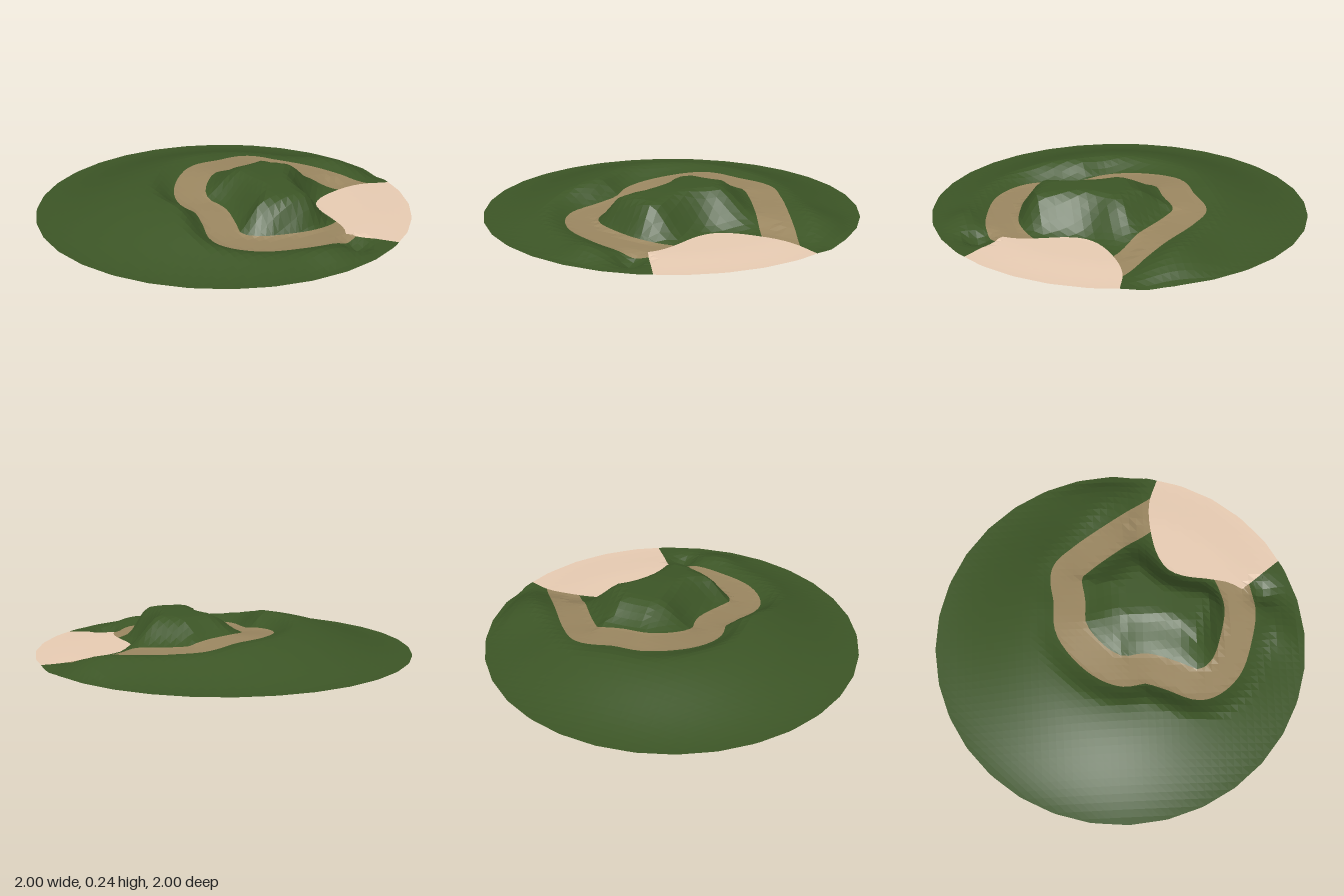
import * as THREE from 'three';

const V = (x, y, z) => new THREE.Vector3(x, y, z);
// Smooth 0 to 1 ramp from a to b; a may be the larger
const step = (a, b, v) => {
  const t = THREE.MathUtils.clamp((v - a) / (b - a), 0, 1);
  return t * t * (3 - 2 * t);
};
const bump = (x, z, cx, cz, r) => Math.exp(-((x - cx) ** 2 + (z - cz) ** 2) / (r * r));

// Centre line of the trail, with its height
const trail = new THREE.CatmullRomCurve3([
  [0.42, 0.045, 0.59], [0.3, 0.05, 0.635], [0.16, 0.052, 0.66], [0, 0.055, 0.63], [-0.19, 0.06, 0.55],
  [-0.275, 0.065, 0.42], [-0.22, 0.08, 0.26], [-0.18, 0.095, 0.13], [-0.195, 0.11, 0], [-0.13, 0.13, -0.13],
  [0.04, 0.155, -0.26], [0.2, 0.15, -0.265], [0.37, 0.135, -0.275], [0.46, 0.12, -0.19],
  [0.6, 0.1, 0], [0.73, 0.06, 0.18], [0.79, 0.045, 0.27],
].map(p => V(...p))).getPoints(200);
const HALF = 0.085;

// Outline of the beach; it runs on past the rim, where it is cut off
const beach = [
  ...new THREE.CatmullRomCurve3([
    [0.27, 0.68], [0.31, 0.62], [0.34, 0.5], [0.36, 0.38], [0.4, 0.29], [0.48, 0.235],
    [0.63, 0.2], [0.82, 0.2], [0.96, 0.25],
  ].map(([x, z]) => V(x, 0, z))).getPoints(60),
  V(1.3, 0, 0.36), V(1.3, 0, 1.3), V(0.65, 0, 1.2), V(0.43, 0, 0.89),
];
const hillOutline = [...trail, V(0.6, 0, 0.6)];

// Nearest distance to a polyline, and the height there
function nearest(line, x, z, closed) {
  let d = Infinity, y = 0;
  for (let i = 0; i < line.length - (closed ? 0 : 1); i++) {
    const a = line[i], b = line[(i + 1) % line.length];
    const ux = b.x - a.x, uz = b.z - a.z;
    const t = THREE.MathUtils.clamp(((x - a.x) * ux + (z - a.z) * uz) / (ux * ux + uz * uz || 1), 0, 1);
    const e = Math.hypot(a.x + ux * t - x, a.z + uz * t - z);
    if (e < d) { d = e; y = a.y + (b.y - a.y) * t; }
  }
  return { d, y };
}

function inside(poly, x, z) {
  let hit = false;
  poly.forEach((a, i) => {
    const b = poly[(i + 1) % poly.length];
    if ((a.z > z) !== (b.z > z) && x < a.x + (b.x - a.x) * (z - a.z) / (b.z - a.z)) hit = !hit;
  });
  return hit;
}

// Positive inside the 32-sided rim
function rimField(x, z) {
  const s = Math.PI / 16, a = Math.atan2(z, x);
  const off = a - (Math.floor(a / s) + 0.5) * s;
  return Math.cos(s / 2) - Math.hypot(x, z) * Math.cos(off);
}

// One ground point: its height and the fields that divide the surfaces
function groundPoint(x, z) {
  const r = Math.hypot(x, z);
  const path = nearest(trail, x, z, false);
  const shore = nearest(beach, x, z, true).d * (inside(beach, x, z) ? 1 : -1);
  const inHill = inside(hillOutline, x, z);
  const fade = step(1, 0.9, r);
  let y;
  if (inHill) {
    y = 0.238 - 0.02 * step(0.2, 0.5, z);
  } else {
    y = 0.035 + 0.147 * step(1, 0.35, r);
    y += fade * (0.05 * bump(x, z, 0.8, -0.06, 0.2) + 0.03 * bump(x, z, 0.03, 0.84, 0.12));
    y -= 0.01 * bump(x, z, 0.99, 0.13, 0.08);
  }
  const width = inHill ? 0.2 - 0.09 * step(0.3, 0.5, z) : 0.13;
  y = THREE.MathUtils.lerp(path.y, y, step(HALF - 0.02, HALF + width, path.d));
  const sandY = 0.036 + 0.012 * step(1, 0.7, r);
  y = THREE.MathUtils.lerp(sandY, y, step(-0.01, inHill ? 0.18 : 0.12, -shore));
  if (shore < 0) y -= 0.058 * bump(x, z, 0.24, 0.8, 0.065);
  return { x, y: Math.max(y, 0), z, rim: rimField(x, z), sand: shore, path: HALF - path.d };
}

// Cuts a polygon where a field changes sign and keeps one side
function clip(poly, key, sign) {
  const out = [];
  poly.forEach((a, i) => {
    const b = poly[(i + 1) % poly.length];
    const fa = a[key] * sign, fb = b[key] * sign;
    if (fa >= 0) out.push(a);
    if ((fa >= 0) !== (fb >= 0)) {
      const t = fa / (fa - fb);
      const p = groundPoint(a.x + (b.x - a.x) * t, a.z + (b.z - a.z) * t);
      p[key] = 0;
      out.push(p);
    }
  });
  return out;
}

export function createModel() {
  const group = new THREE.Group();
  group.name = 'island';
  const material = (name, color) => {
    const m = new THREE.MeshStandardMaterial({ color, flatShading: true, side: THREE.DoubleSide });
    m.name = name;
    return m;
  };
  const parts = {
    grass: { material: material('green grass', 0x3c5526), pos: [] },
    trail: { material: material('brown earth', 0x9a8660), pos: [] },
    beach: { material: material('pale sand', 0xe8ccb3), pos: [] },
  };
  const add = (part, poly) => {
    for (let i = 1; i + 1 < poly.length; i++) {
      for (const p of [poly[0], poly[i], poly[i + 1]]) parts[part].pos.push(p.x, p.y, p.z);
    }
  };

  // Ground grid
  const N = 52, S = 0.04, grid = [];
  for (let j = 0; j <= N; j++) {
    grid.push([]);
    for (let i = 0; i <= N; i++) grid[j].push(groundPoint((i - N / 2) * S, (j - N / 2) * S));
  }

  // Each triangle is trimmed to the rim, then shared out between the surfaces
  for (let j = 0; j < N; j++) {
    for (let i = 0; i < N; i++) {
      const a = grid[j][i], b = grid[j + 1][i], c = grid[j + 1][i + 1], d = grid[j][i + 1];
      for (const tri of [[a, b, d], [b, c, d]]) {
        const ground = clip(tri, 'rim', 1);
        add('beach', clip(ground, 'sand', 1));
        const land = clip(ground, 'sand', -1);
        add('trail', clip(land, 'path', 1));
        add('grass', clip(land, 'path', -1));
      }
    }
  }

  for (const name in parts) {
    const geometry = new THREE.BufferGeometry();
    geometry.setAttribute('position', new THREE.Float32BufferAttribute(parts[name].pos, 3));
    geometry.computeVertexNormals();
    const mesh = new THREE.Mesh(geometry, parts[name].material);
    mesh.name = name;
    group.add(mesh);
  }
  return group;
}
